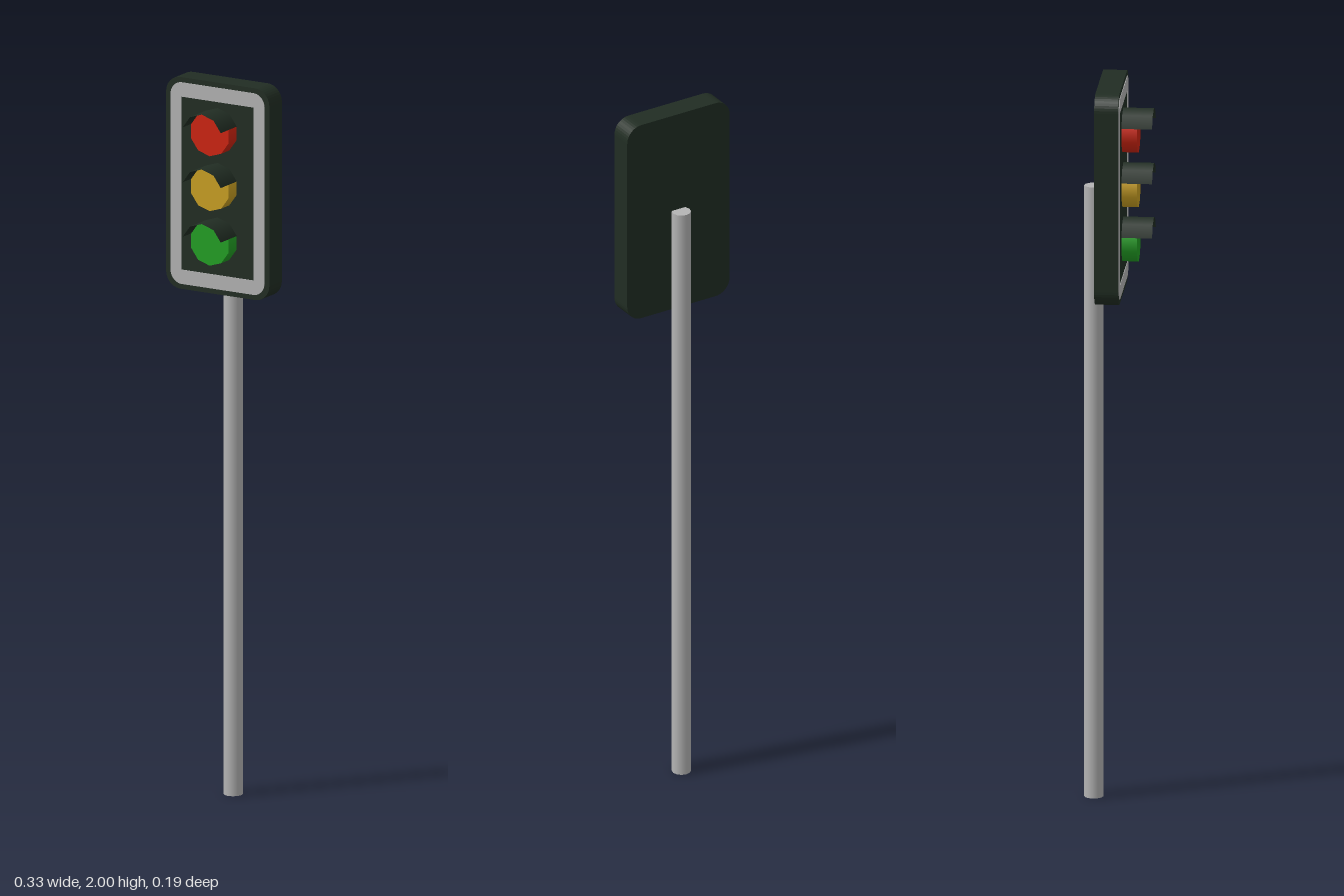
import * as THREE from 'three';

const mat = (name, color, side = THREE.FrontSide) => {
  const m = new THREE.MeshStandardMaterial({ color, side });
  m.name = name;
  return m;
};

// rounded rectangle centred on the origin
function roundedRect(w, h, r) {
  const s = new THREE.Shape(), x = w / 2, y = h / 2;
  s.moveTo(x, -y + r);
  s.lineTo(x, y - r);
  s.absarc(x - r, y - r, r, 0, Math.PI / 2);
  s.lineTo(-x + r, y);
  s.absarc(-x + r, y - r, r, Math.PI / 2, Math.PI);
  s.lineTo(-x, -y + r);
  s.absarc(-x + r, -y + r, r, Math.PI, Math.PI * 1.5);
  s.lineTo(x - r, -y);
  s.absarc(x - r, -y + r, r, Math.PI * 1.5, Math.PI * 2);
  return s;
}

export function createModel() {
  const group = new THREE.Group();
  const dark = mat('dark green housing', 0x212d23, THREE.DoubleSide);
  const gray = mat('light gray', 0xb4b4b4);
  const colours = [
    ['red', 0xcf2410, 1.866],
    ['amber', 0xcaa022, 1.713],
    ['green', 0x22a024, 1.561],
  ];

  const add = (name, geometry, material, x, y, z, parent = group) => {
    const mesh = new THREE.Mesh(geometry, material);
    mesh.name = name;
    mesh.position.set(x, y, z);
    parent.add(mesh);
    return mesh;
  };

  // pole behind the housing
  add('pole', new THREE.CylinderGeometry(0.026, 0.026, 1.71, 12), gray, 0, 0.855, -0.07);

  // housing slab with rounded corners
  const midY = 1.705;
  add('housing', new THREE.ExtrudeGeometry(roundedRect(0.326, 0.59, 0.045),
    { depth: 0.065, bevelEnabled: false, curveSegments: 5 }), dark, 0, midY, -0.055);

  // thin border plate with a square-cornered opening
  const border = roundedRect(0.296, 0.562, 0.035);
  border.holes.push(new THREE.Path([[-1, -1], [-1, 1], [1, 1], [1, -1]]
    .map(([x, y]) => new THREE.Vector2(x * 0.114, y * 0.241))));
  add('border', new THREE.ExtrudeGeometry(border,
    { depth: 0.002, bevelEnabled: false, curveSegments: 5 }), gray, 0, midY, 0.0095);

  // ten-sided lamps, each under a thin four-panel visor
  const lampGeo = new THREE.CylinderGeometry(0.062, 0.062, 0.044, 10).rotateX(Math.PI / 2);
  lampGeo.rotateZ(Math.PI); // a corner points straight up
  const visorGeo = new THREE.CylinderGeometry(0.0632, 0.0632, 0.084, 4, 1, true,
    Math.PI * 0.6, Math.PI * 0.8).rotateX(Math.PI / 2);
  for (const [name, hex, y] of colours) {
    const signal = new THREE.Group();
    signal.name = name + 'Signal';
    signal.position.y = y;
    group.add(signal);
    add(name + 'Lamp', lampGeo, mat(name + ' lamp', hex), 0, 0, 0.03, signal);
    add(name + 'Visor', visorGeo, dark, 0, 0, 0.051, signal);
  }
  return group;
}
